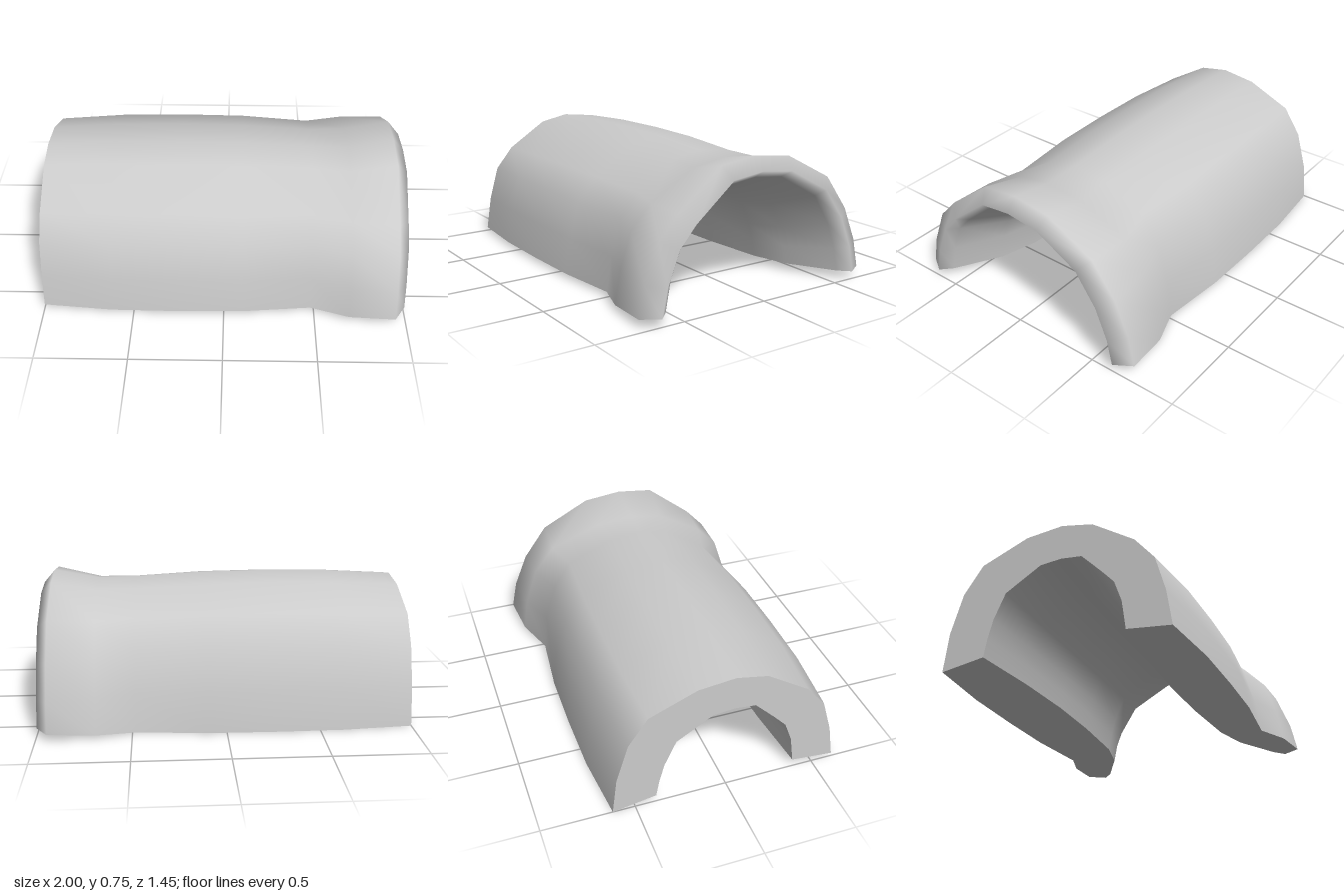
import * as THREE from 'three';

// Arch profiles as [z, y], running from the +z foot over the crown to the -z foot
const BODY = [[0.62, 0.04], [0.59, 0.21], [0.535, 0.4], [0.43, 0.525], [0.2, 0.672], [0.03, 0.705],
  [-0.17, 0.682], [-0.425, 0.575], [-0.53, 0.425], [-0.595, 0.21], [-0.62, 0.04]];
const FLARE = [[0.725, 0.04], [0.69, 0.2], [0.61, 0.4], [0.5, 0.52], [0.24, 0.725], [0.03, 0.75],
  [-0.19, 0.725], [-0.47, 0.58], [-0.61, 0.39], [-0.69, 0.2], [-0.725, 0.04]];
const BORE = [[0.335, 0.045], [0.315, 0.2], [0.28, 0.3], [0.22, 0.365], [0.13, 0.465], [0.03, 0.475],
  [-0.07, 0.465], [-0.25, 0.35], [-0.3, 0.22], [-0.32, 0.13], [-0.335, 0.04]];
const N = BODY.length;

// Stations along the length: [x, outer profile, half width, crown height, bore widening, foot drop]
const STATIONS = [
  [-1, BODY, 0.62, 0.705, 0.13, 1],
  [-0.62, BODY, 0.655, 0.725, 0.04, 1],
  [-0.25, BODY, 0.66, 0.73, 0, 1],
  [0.1, BODY, 0.655, 0.725, 0.02, 1],
  [0.48, BODY, 0.62, 0.705, 0.09, 1],
  [0.69, BODY, 0.7, 0.7, 0.23, 0.5],
  [0.94, FLARE, 0.725, 0.75, 0.6, 0],
];
// The flare closes to a single thin edge
const RIM = [1, FLARE, 0.63, 0.68, 1, 0];

function outerArch([x, profile, halfWidth, top, , drop]) {
  const crown = profile[5][1];
  return profile.map(([z, y], i) => {
    let h = 0.04 + (y - 0.04) * (top - 0.04) / (crown - 0.04);
    if (i === 0) h -= 0.02 * drop;
    if (i === N - 1) h -= 0.04 * drop;
    return [x, h, z * halfWidth / profile[0][0]];
  });
}

function innerArch([x, , , , widen]) {
  return BORE.map(([z, y], i) => [
    x,
    THREE.MathUtils.lerp(y, FLARE[i][1], widen),
    THREE.MathUtils.lerp(z, FLARE[i][0], widen),
  ]);
}

// Smooth surface through rows of points; it faces (next row) x (next column)
function surface(name, rows, material) {
  const columns = rows[0].length;
  const index = [];
  for (let r = 0; r < rows.length - 1; r++) {
    for (let c = 0; c < columns - 1; c++) {
      const a = r * columns + c;
      const b = a + columns;
      index.push(a, b, a + 1, a + 1, b, b + 1);
    }
  }
  const geometry = new THREE.BufferGeometry();
  geometry.setAttribute('position', new THREE.Float32BufferAttribute(rows.flat(2), 3));
  geometry.setIndex(index);
  geometry.computeVertexNormals();
  const mesh = new THREE.Mesh(geometry, material);
  mesh.name = name;
  return mesh;
}

export function createModel() {
  const group = new THREE.Group();
  group.name = 'flaredHalfPipe';
  const material = new THREE.MeshStandardMaterial({ color: 0xcccccc });

  const outer = STATIONS.map(outerArch);
  const inner = STATIONS.map(innerArch);
  const rim = outerArch(RIM);

  // Outside and bore as one skin, rolled over the flared rim
  group.add(surface('archedShell', [...outer, rim, ...inner.slice().reverse()], material));

  // Undersides of the two feet, each tapering to the rim
  const frontFoot = outer.map((row, s) => [inner[s][0], row[0]]);
  const backFoot = outer.map((row, s) => [row[N - 1], inner[s][N - 1]]);
  frontFoot.push([rim[0], rim[0]]);
  backFoot.push([rim[N - 1], rim[N - 1]]);
  group.add(surface('frontFoot', frontFoot, material));
  group.add(surface('backFoot', backFoot, material));

  // Flat plain end
  group.add(surface('plainEnd', [inner[0], outer[0]], material));
  return group;
}
